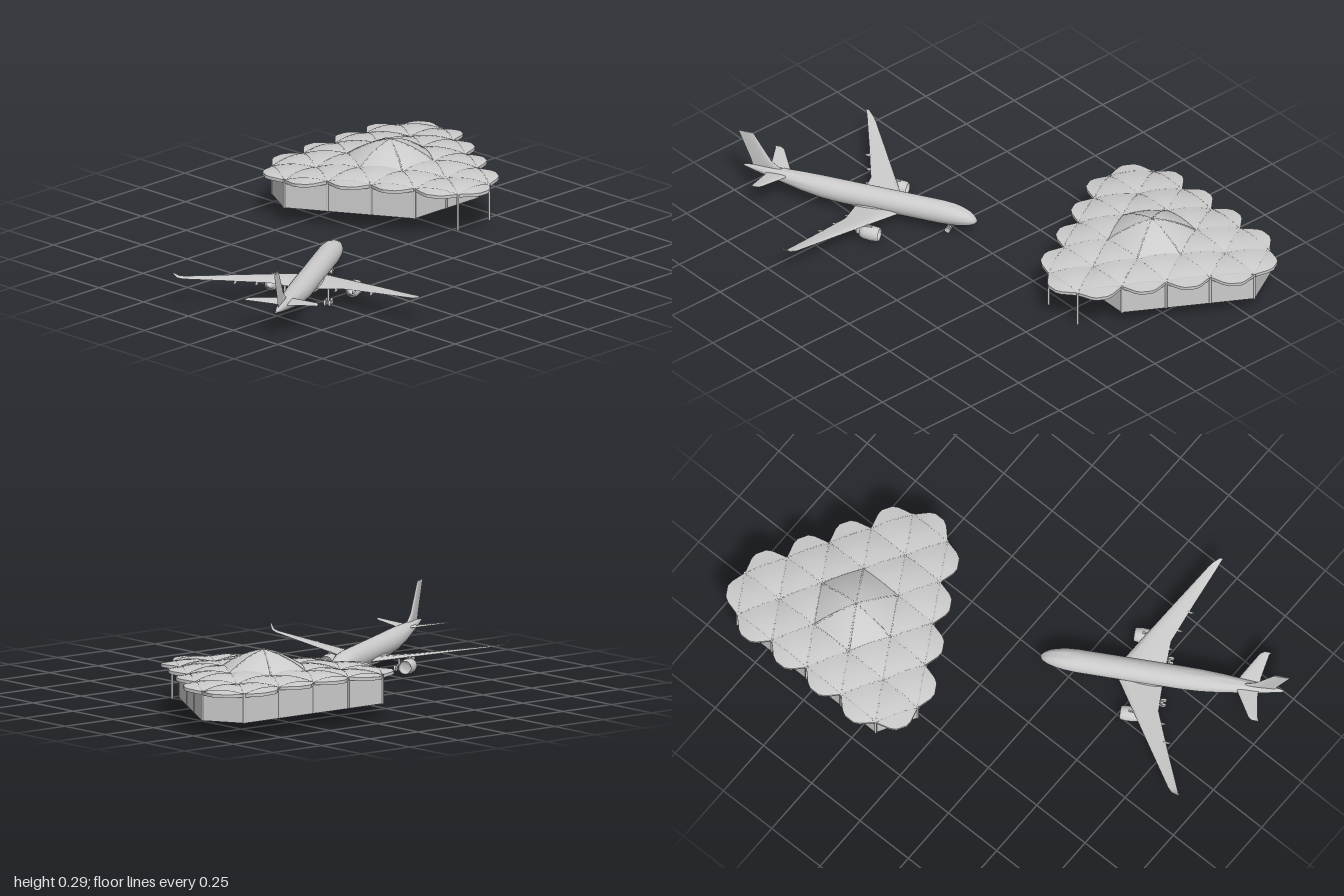
import * as THREE from 'three';
import { toCreasedNormals } from 'three/addons/utils/BufferGeometryUtils.js';

const solid = new THREE.MeshStandardMaterial({ color: 0xcccccc });
const thin = new THREE.MeshStandardMaterial({ color: 0xcccccc, side: THREE.DoubleSide });

function add(parent, name, geometry, material = solid, pos = [0, 0, 0]) {
  const mesh = new THREE.Mesh(geometry, material);
  mesh.name = name;
  mesh.position.set(...pos);
  parent.add(mesh);
  return mesh;
}

function surface(points, index) {
  const g = new THREE.BufferGeometry();
  g.setAttribute('position', new THREE.Float32BufferAttribute(points.flat(), 3));
  g.setIndex(index);
  return g;
}

// Skin a list of equal-length rings and close both ends
function loft(rings, crease = 0.7) {
  const n = rings[0].length, last = (rings.length - 1) * n, index = [];
  for (let i = 0; i < rings.length - 1; i++) {
    for (let j = 0; j < n; j++) {
      const a = i * n + j, b = i * n + (j + 1) % n;
      index.push(a, b, a + n, b, b + n, a + n);
    }
  }
  for (let j = 1; j < n - 1; j++) index.push(0, j + 1, j, last, last + j, last + j + 1);
  return toCreasedNormals(surface(rings.flat(), index), crease);
}

// Aerofoil outline: fraction of chord, fraction of thickness
const foil = [[0, 0], [0.04, 0.3], [0.15, 0.48], [0.35, 0.5], [0.65, 0.32], [1, 0.02],
  [0.65, -0.2], [0.35, -0.32], [0.15, -0.32], [0.04, -0.2]];

// Each section: [span, leading edge, trailing edge, height, thickness]
const wing = sections => loft(sections.map(([x, le, te, y, t]) =>
  foil.map(([c, h]) => [x, y + h * t, le + c * (te - le)])));

// ---------- Terminal: a triangular lattice of arched roof cells ----------
const DX = 0.155, SIDE = 0.179, ARCH = 0.012;
const level = [0.283, 0.205, 0.19, 0.18];
const inside = ([i, j]) => i >= -2 && j >= -2 && i + j <= 2 && i <= 3 && j <= 3 && i + j >= -3;
const node = ([i, j]) => new THREE.Vector3(-0.38 + DX * i,
  level[Math.max(Math.abs(i), Math.abs(j), Math.abs(i + j))], -0.535 + SIDE * (j + i / 2));

function archedEdge(a, b) {
  const mid = a.clone().lerp(b, 0.5);
  mid.y += 2 * ARCH;
  return new THREE.QuadraticBezierCurve3(a, mid, b);
}

function roofCell(a, b, c) {
  const n = 6, pts = [], index = [], id = (r, k) => r * (r + 1) / 2 + k;
  for (let r = 0; r <= n; r++) {
    for (let k = 0; k <= r; k++) {
      const u = 1 - r / n, w = k / n, v = 1 - u - w;
      const p = new THREE.Vector3().addScaledVector(a, u).addScaledVector(b, v).addScaledVector(c, w);
      p.y += 4 * ARCH * (u * v + v * w + w * u);
      pts.push(p.toArray());
      if (r < n) index.push(id(r, k), id(r + 1, k), id(r + 1, k + 1));
      if (r < n && k < r) index.push(id(r, k), id(r + 1, k + 1), id(r, k + 1));
    }
  }
  const g = surface(pts, index);
  g.computeVertexNormals();
  return g;
}

// Scalloped eave hanging outside a boundary edge, with a turned-down rim
function eave(a, b, outward) {
  const curve = archedEdge(a, b), pts = [], index = [], n = 8;
  for (let k = 0; k <= n; k++) {
    const t = k / n, p = curve.getPoint(t);
    const o = Math.min(1, t / 0.32, (1 - t) / 0.32);
    const q = a.clone().lerp(b, t).addScaledVector(outward, 0.058 * o);
    q.y += 0.002 + 0.003 * o;
    pts.push(p.toArray(), q.toArray(), [q.x, q.y - 0.013, q.z]);
    if (k < n) {
      for (const m of [0, 1]) {
        const s = k * 3 + m;
        index.push(s, s + 1, s + 3, s + 1, s + 4, s + 3);
      }
    }
  }
  return toCreasedNormals(surface(pts, index), 0.5);
}

function createTerminal() {
  const g = new THREE.Group();
  g.name = 'terminal';
  const edges = new Map();
  for (let i = -3; i <= 3; i++) {
    for (let j = -3; j <= 3; j++) {
      for (const cell of [[[i, j], [i, j + 1], [i + 1, j]], [[i + 1, j], [i, j + 1], [i + 1, j + 1]]]) {
        if (!cell.every(inside)) continue;
        const p = cell.map(node);
        add(g, 'roofCell', roofCell(...p), thin);
        cell.forEach((c, k) => {
          const key = [c, cell[(k + 1) % 3]].map(String).sort().join('|');
          const e = edges.get(key) || { a: p[k], b: p[(k + 1) % 3], opposite: p[(k + 2) % 3], count: 0 };
          e.count++;
          edges.set(key, e);
        });
      }
    }
  }
  for (const { a, b, opposite, count } of edges.values()) {
    add(g, 'roofRib', new THREE.TubeGeometry(archedEdge(a, b), 8, 0.005, 4), solid, [0, -0.003, 0]);
    if (count > 1) continue;
    const out = a.clone().lerp(b, 0.5).sub(opposite).setY(0).normalize();
    add(g, 'eave', eave(a, b, out), thin);
  }
  // Walls and posts around the closed part
  const ring = [[-2, -1], [-1, -2], [0, -2], [1, -2], [2, -2], [2, -1], [2, 0],
    [1, 1], [0, 2], [-1, 3], [-2, 3], [-2, 2], [-2, 1], [-2, 0]].map(node);
  ring.forEach((a, k) => {
    const b = ring[(k + 1) % ring.length], dx = b.x - a.x, dz = b.z - a.z;
    const wall = add(g, 'wall', new THREE.BoxGeometry(Math.hypot(dx, dz), 0.12, 0.003), solid,
      [(a.x + b.x) / 2, 0.125, (a.z + b.z) / 2]);
    wall.rotation.y = Math.atan2(-dz, dx);
    add(g, 'wallPost', new THREE.CylinderGeometry(0.005, 0.005, 0.12, 8), solid, [a.x, 0.125, a.z]);
  });
  // Free posts under the canopy tip
  for (const p of [[3, -2], [3, -1]].map(node))
    add(g, 'canopyPost', new THREE.CylinderGeometry(0.005, 0.005, 0.15, 8), solid, [p.x, 0.105, p.z]);
  add(g, 'roofFinial', new THREE.CylinderGeometry(0.005, 0.005, 0.012, 8), solid, [-0.38, 0.282, -0.535]);
  return g;
}

// ---------- Airliner: nose at the origin, tail along +z ----------
function createAirliner() {
  const g = new THREE.Group();
  g.name = 'airliner';
  const hull = [[0, 0.078, 0.003], [0.006, 0.079, 0.012], [0.018, 0.081, 0.021], [0.036, 0.084, 0.03],
    [0.065, 0.087, 0.038], [0.1, 0.089, 0.044], [0.15, 0.09, 0.047], [0.57, 0.09, 0.047], [0.65, 0.093, 0.045],
    [0.74, 0.1, 0.038], [0.84, 0.11, 0.026], [0.93, 0.118, 0.014], [0.985, 0.122, 0.004]];
  add(g, 'fuselage', loft(hull.map(([z, y, r]) => Array.from({ length: 28 }, (_, k) => {
    const t = k / 28 * Math.PI * 2;
    return [r * Math.cos(t), y + r * Math.sin(t), z];
  }))));
  add(g, 'bellyFairing', new THREE.SphereGeometry(1, 24, 16).scale(0.052, 0.028, 0.13), solid, [0, 0.062, 0.42]);

  // Fin: a wing turned upright
  add(g, 'fin', wing([[0.12, 0.79, 0.945, 0, 0.012], [0.14, 0.835, 0.952, 0, 0.014], [0.165, 0.87, 0.96, 0, 0.012],
    [0.284, 0.947, 1.01, 0, 0.006]]).rotateZ(Math.PI / 2));

  const nacelle = [[0, 0.02], [0.023, 0.024], [0.025, 0.004], [0.027, 0], [0.029, 0.008], [0.031, 0.03],
    [0.029, 0.06], [0.023, 0.08], [0.016, 0.078], [0.013, 0.095], [0.006, 0.097], [0, 0.112]];
  const tyre = new THREE.CylinderGeometry(0.012, 0.012, 0.009, 16).rotateZ(Math.PI / 2);
  for (const side of [1, -1]) {
    const half = new THREE.Group();
    half.name = side > 0 ? 'leftSide' : 'rightSide';
    half.scale.x = side;
    g.add(half);
    add(half, 'wing', wing([[0, 0.298, 0.5, 0.06, 0.024], [0.045, 0.326, 0.5, 0.063, 0.022],
      [0.15, 0.392, 0.503, 0.074, 0.015], [0.32, 0.499, 0.57, 0.091, 0.009], [0.475, 0.597, 0.634, 0.106, 0.005],
      [0.495, 0.613, 0.642, 0.112, 0.004], [0.51, 0.638, 0.652, 0.131, 0.003]]));
    add(half, 'tailplane', wing([[0, 0.785, 0.885, 0.118, 0.011], [0.04, 0.806, 0.885, 0.122, 0.009],
      [0.137, 0.864, 0.902, 0.133, 0.005], [0.148, 0.88, 0.908, 0.134, 0.003]]));
    add(half, 'engine', new THREE.LatheGeometry(nacelle.map(p => new THREE.Vector2(...p)), 24).rotateX(Math.PI / 2),
      thin, [0.168, 0.04, 0.352]);
    add(half, 'enginePylon', new THREE.BoxGeometry(0.006, 0.02, 0.075), solid, [0.168, 0.068, 0.422]);
    for (const [x, y, z] of [[0.12, 0.064, 0.49], [0.2, 0.073, 0.515], [0.28, 0.082, 0.548]])
      add(half, 'flapFairing', new THREE.SphereGeometry(1, 10, 8).scale(0.005, 0.007, 0.028), solid, [x, y, z]);
    // Main landing gear: four-wheel bogie
    add(half, 'mainGearLeg', new THREE.CylinderGeometry(0.005, 0.005, 0.056, 10), solid, [0.09, 0.04, 0.497]);
    add(half, 'bogieBeam', new THREE.BoxGeometry(0.006, 0.006, 0.032), solid, [0.09, 0.012, 0.497]);
    for (const dx of [-0.01, 0.01])
      for (const dz of [-0.015, 0.015]) add(half, 'mainWheel', tyre, solid, [0.09 + dx, 0.012, 0.497 + dz]);
    add(half, 'noseWheel', tyre, solid, [0.007, 0.012, 0.122]);
  }
  add(g, 'noseGearLeg', new THREE.CylinderGeometry(0.004, 0.004, 0.045, 10), solid, [0, 0.034, 0.122]);
  g.position.set(-0.025, 0, 0.125);
  g.rotation.y = Math.PI / 6;
  return g;
}

export function createModel() {
  const model = new THREE.Group();
  model.name = 'airportScene';
  model.add(createTerminal(), createAirliner());
  return model;
}
